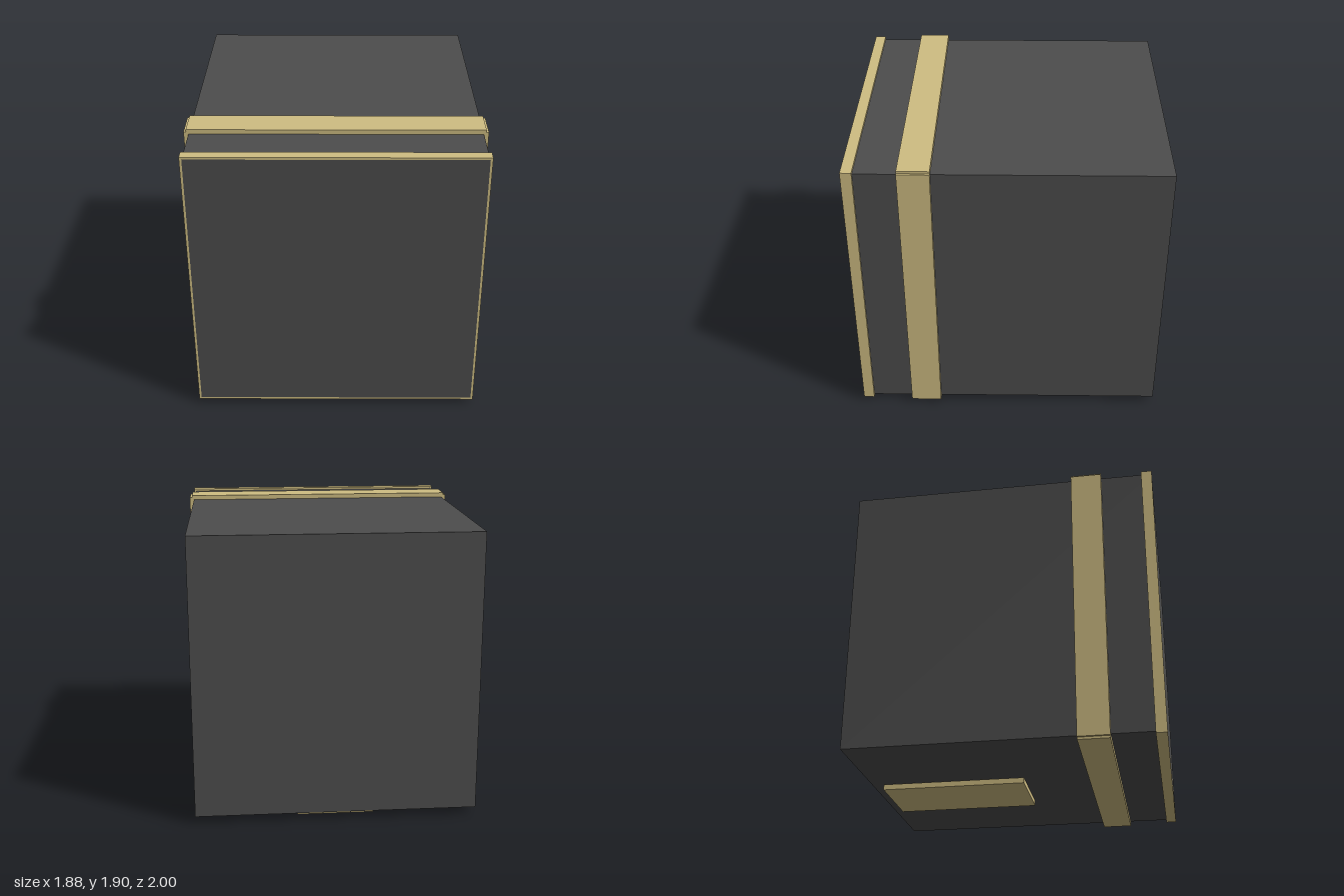
import * as THREE from 'three';

const dark = new THREE.MeshStandardMaterial({ color: 0x4d4d4d });
const gold = new THREE.MeshStandardMaterial({ color: 0xcfbd82 });

// Box given by its lower and upper corners
function box(name, material, [x0, y0, z0], [x1, y1, z1]) {
  const mesh = new THREE.Mesh(new THREE.BoxGeometry(x1 - x0, y1 - y0, z1 - z0), material);
  mesh.position.set((x0 + x1) / 2, (y0 + y1) / 2, (z0 + z1) / 2);
  mesh.name = name;
  return mesh;
}

export function createModel() {
  const model = new THREE.Group();
  model.name = 'cabinet';

  // Cabinet body, its front face flush with the front trim
  model.add(box('body', dark, [-0.91, 0.05, -1], [0.91, 1.87, 1]));

  // Thin trim framing the front edge
  const outline = new THREE.Shape([[-0.925, 0.035], [0.925, 0.035], [0.925, 1.885], [-0.925, 1.885]]
    .map(([x, y]) => new THREE.Vector2(x, y)));
  outline.holes.push(new THREE.Path([[-0.91, 0.05], [-0.91, 1.87], [0.91, 1.87], [0.91, 0.05]]
    .map(([x, y]) => new THREE.Vector2(x, y))));
  const trim = new THREE.Mesh(
    new THREE.ExtrudeGeometry(outline, { depth: 0.07, bevelEnabled: false }), gold);
  trim.position.z = 0.93;
  trim.name = 'frontTrim';
  model.add(trim);

  // Band of four strips around the body, stepped at the corners
  const band = new THREE.Group();
  band.name = 'band';
  const back = 0.465, front = 0.665;
  band.add(
    box('bandTop', gold, [-0.925, 1.87, back], [0.925, 1.9, front]),
    box('bandBottom', gold, [-0.925, 0.02, back], [0.925, 0.05, front]),
    box('bandLeft', gold, [0.91, 0.035, back], [0.94, 1.885, front]),
    box('bandRight', gold, [-0.94, 0.035, back], [-0.91, 1.885, front]));
  model.add(band);

  // Foot plate just under the body
  model.add(box('footPlate', gold, [-0.25, 0, -0.91], [0.25, 0.036, 0.04]));

  return model;
}
